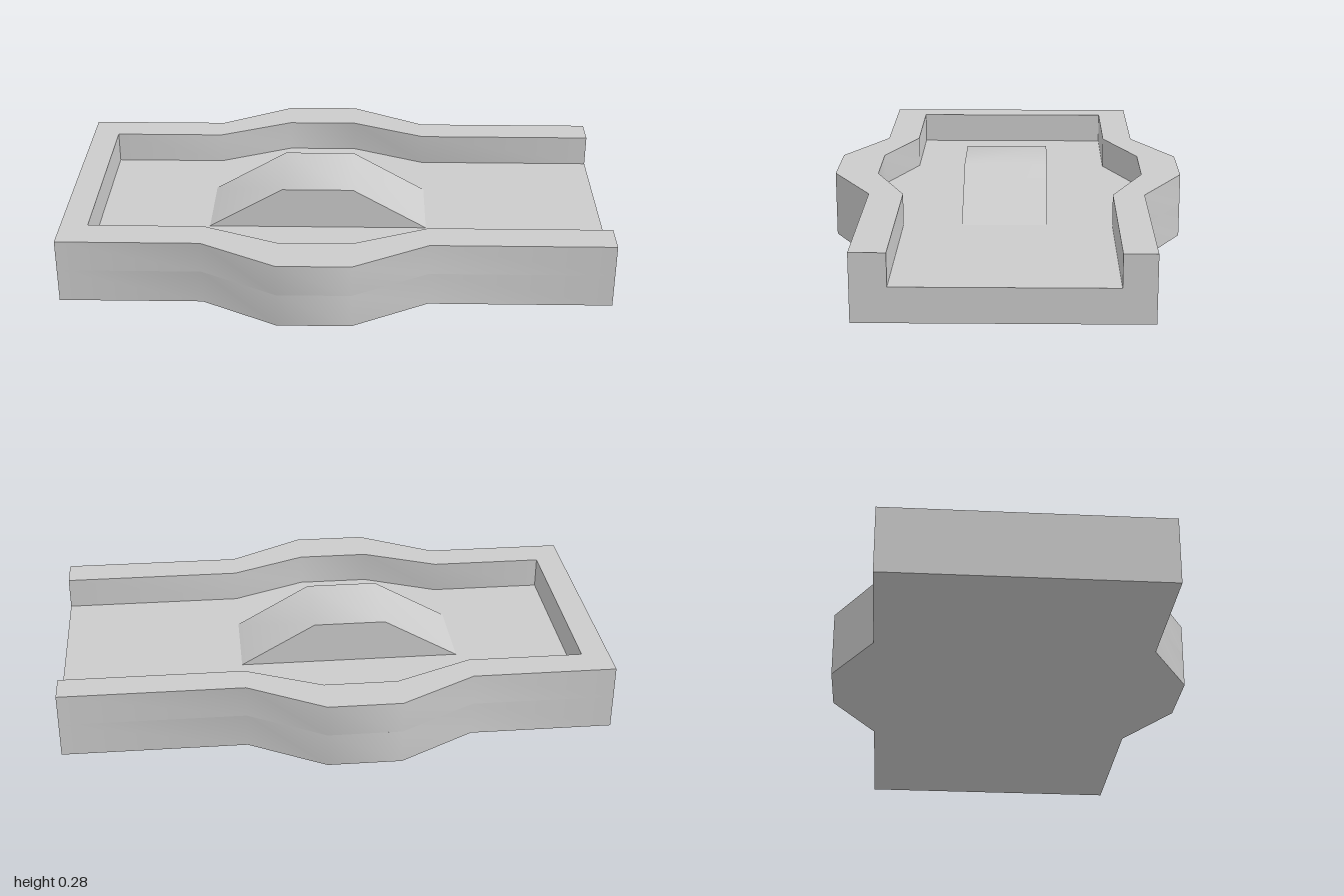
import * as THREE from 'three';
import { toCreasedNormals } from 'three/addons/utils/BufferGeometryUtils.js';

const FLOOR = 0.125, RIM = 0.242, PEAK = 0.282;
// stations along x where the sides and the ramp bend
const X0 = -0.48, X1 = -0.205, X2 = 0.06, X3 = 0.335;

// One bulging side line from xStart to x = 1, as shape points (shape y = -z)
const sideLine = (xStart, zStraight, zBulge) =>
  [[xStart, zStraight], [X0, zStraight], [X1, zBulge], [X2, zBulge], [X3, zStraight], [1, zStraight]]
    .map(([x, z]) => new THREE.Vector2(x, -z));

function extrude(points, depth) {
  return new THREE.ExtrudeGeometry(new THREE.Shape(points), { depth, bevelEnabled: false });
}

export function createModel() {
  const group = new THREE.Group();
  const material = new THREE.MeshStandardMaterial({ color: 0xcccccc });
  const add = (name, geometry) => {
    const mesh = new THREE.Mesh(toCreasedNormals(geometry, 0.6), material);
    mesh.name = name;
    group.add(mesh);
  };

  const outerFront = sideLine(-1, 0.5, 0.655);
  const outerBack = sideLine(-1, -0.503, -0.658).reverse();

  // Solid slab with bulging sides
  add('base', extrude([...outerFront, ...outerBack], FLOOR).rotateX(-Math.PI / 2));

  // U-shaped rim, open at the +x end
  const innerBack = sideLine(-0.9, -0.388, -0.51).reverse();
  const innerFront = sideLine(-0.9, 0.375, 0.492);
  const rim = [...outerBack, ...outerFront, ...innerFront.reverse(), ...innerBack.reverse()];
  add('rimWall', extrude(rim, RIM - FLOOR).rotateX(-Math.PI / 2).translate(0, FLOOR, 0));

  // Central ramp with a flat top
  const ramp = [[X0, FLOOR], [X3, FLOOR], [X2, PEAK], [X1, PEAK]].map(([x, y]) => new THREE.Vector2(x, y));
  add('ramp', extrude(ramp, 0.312).translate(0, 0, -0.15));

  return group;
}
